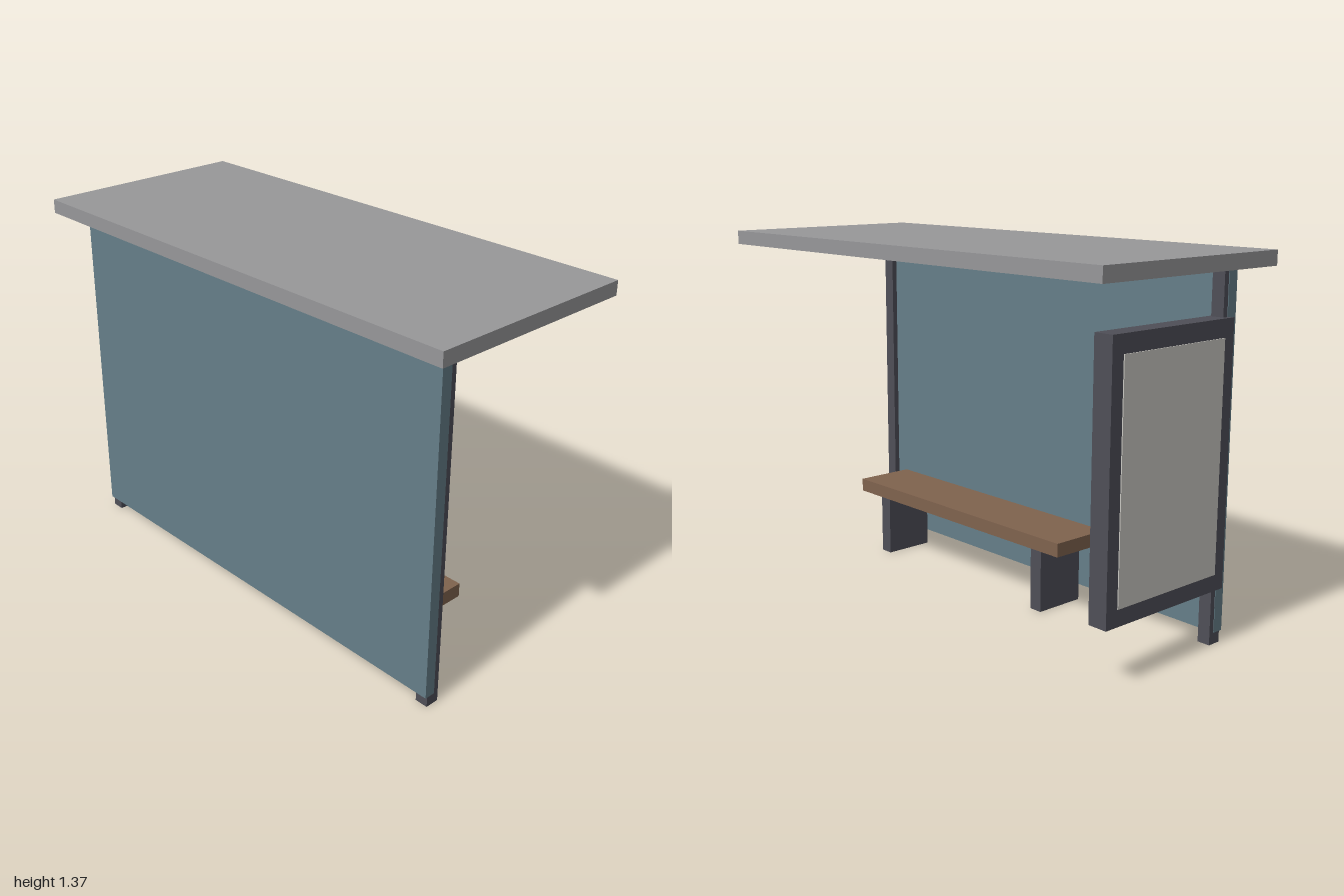
import * as THREE from 'three';

const material = (name, color) => {
  const m = new THREE.MeshStandardMaterial({ color });
  m.name = name;
  return m;
};

export function createModel() {
  const roofGrey = material('roof grey', 0x98989a);
  const tealPanel = material('teal panel', 0x667f89);
  const darkMetal = material('dark metal', 0x4f4f58);
  const wood = material('wood', 0x80634e);
  const posterWhite = material('poster off-white', 0xcbc9c3);

  const shelter = new THREE.Group();
  shelter.name = 'busShelter';

  // Box given by its limits along each axis
  const box = (name, mat, [x0, x1], [y0, y1], [z0, z1], parent = shelter) => {
    const mesh = new THREE.Mesh(new THREE.BoxGeometry(x1 - x0, y1 - y0, z1 - z0), mat);
    mesh.position.set((x0 + x1) / 2, (y0 + y1) / 2, (z0 + z1) / 2);
    mesh.name = name;
    parent.add(mesh);
  };

  // Flat roof, long wall and its two corner posts
  box('roof', roofGrey, [-1, 1], [1.317, 1.37], [-0.42, 0.42]);
  box('wallPanel', tealPanel, [-0.917, 0.917], [0.042, 1.311], [0.278, 0.32]);
  for (const side of [-1, 1]) {
    const x = side * 0.89;
    box(side > 0 ? 'leftPost' : 'rightPost', darkMetal, [x - 0.025, x + 0.025], [0, 1.317], [0.257, 0.31]);
  }

  // Bench, set off-centre away from the poster
  const bench = new THREE.Group();
  bench.name = 'bench';
  shelter.add(bench);
  box('seat', wood, [-0.405, 0.785], [0.246, 0.298], [0.015, 0.257], bench);
  for (const x of [-0.272, 0.648]) {
    box('benchLeg', darkMetal, [x - 0.027, x + 0.027], [0, 0.246], [0.036, 0.24], bench);
  }

  // Poster case at the right end, with a poster on each face
  const posterCase = new THREE.Group();
  posterCase.name = 'posterCase';
  shelter.add(posterCase);
  box('posterFrame', darkMetal, [-0.931, -0.855], [0.207, 1.151], [-0.295, 0.295], posterCase);
  for (const [name, x] of [['outerPoster', -0.931], ['innerPoster', -0.855]]) {
    box(name, posterWhite, [x - 0.004, x + 0.004], [0.268, 1.087], [-0.244, 0.246], posterCase);
  }

  return shelter;
}
